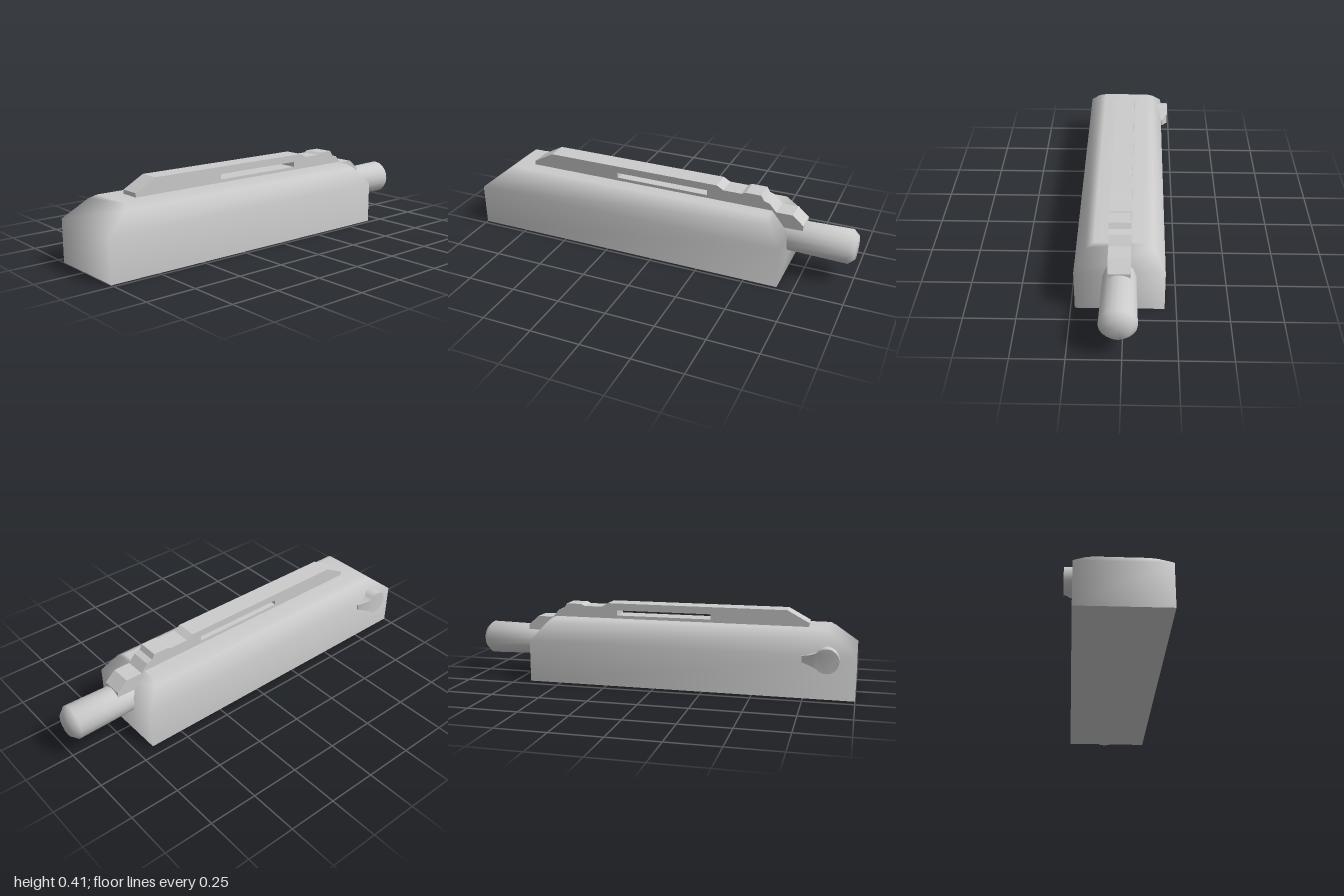
import * as THREE from 'three';
import { toCreasedNormals } from 'three/addons/utils/BufferGeometryUtils.js';

const CX = 0.0175; // centre line of the body

function addMesh(group, name, geometry) {
  const material = new THREE.MeshStandardMaterial({ color: 0xcccccc });
  const mesh = new THREE.Mesh(geometry, material);
  mesh.name = name;
  group.add(mesh);
  return mesh;
}

// Extrude a (z, y) profile towards -x, starting at xStart
function extrudeSide(shape, xStart, depth) {
  const g = new THREE.ExtrudeGeometry(shape, { depth, bevelEnabled: false, curveSegments: 10 });
  return g.rotateY(-Math.PI / 2).translate(xStart, 0, 0);
}

// Body: rectangular rings that shrink towards the top, smooth sides and a sharp base
function bodyGeometry() {
  // y, half width, front z, back z
  const rings = [
    [0, 0.2125, 1, -0.67],
    [0.215, 0.2125, 1, -0.67],
    [0.305, 0.1575, 0.885, -0.597],
    [0.325, 0.12, 0.86, -0.58],
  ];
  const pos = [];
  const index = [];
  const addRing = ([y, w, f, b]) =>
    pos.push(CX - w, y, f, CX + w, y, f, CX + w, y, b, CX - w, y, b);
  rings.forEach(addRing);
  for (let r = 0; r < rings.length - 1; r++) {
    for (let i = 0; i < 4; i++) {
      const a = r * 4 + i;
      const b = r * 4 + ((i + 1) % 4);
      index.push(a, b, b + 4, a, b + 4, a + 4);
    }
  }
  const top = (rings.length - 1) * 4;
  index.push(top, top + 1, top + 2, top, top + 2, top + 3);
  // separate vertices keep the base edge sharp
  const base = rings.length * 4;
  addRing(rings[0]);
  index.push(base, base + 2, base + 1, base, base + 3, base + 2);
  const g = new THREE.BufferGeometry();
  g.setAttribute('position', new THREE.Float32BufferAttribute(pos, 3));
  g.setIndex(index);
  g.computeVertexNormals();
  return g;
}

// Rail: stepped side profile with a long slot
function railGeometry() {
  const profile = [
    [0.76, 0.3], [0.76, 0.345], [0.65, 0.405], [-0.29, 0.405], [-0.325, 0.385],
    [-0.42, 0.385], [-0.44, 0.395], [-0.52, 0.395], [-0.535, 0.37], [-0.565, 0.36],
    [-0.6, 0.32], [-0.685, 0.32], [-0.74, 0.272], [-0.74, 0.245], [-0.6, 0.245], [-0.54, 0.3],
  ];
  const shape = new THREE.Shape(profile.map(([z, y]) => new THREE.Vector2(z, y)));
  const slot = [[0.26, 0.341], [0.26, 0.368], [-0.24, 0.368], [-0.24, 0.341]];
  shape.holes.push(new THREE.Path(slot.map(([z, y]) => new THREE.Vector2(z, y))));
  return extrudeSide(shape, 0.07, 0.105);
}

// Handle: lathe along z with a chamfered end
function handleGeometry() {
  const points = [[0, 0.58], [0.068, 0.6], [0.08, 0.66], [0.087, 0.97], [0.06, 1], [0, 1]];
  const g = new THREE.LatheGeometry(points.map(([r, d]) => new THREE.Vector2(r, d)), 20);
  g.rotateX(-Math.PI / 2).translate(CX, 0.185, 0);
  return toCreasedNormals(g, 0.9);
}

// Catch: round boss with a waisted pointer that thins towards its tip
function catchGeometry() {
  const z = 0.859;
  const y = 0.197;
  const shape = new THREE.Shape();
  shape.moveTo(0.74, y - 0.016);
  shape.quadraticCurveTo(0.785, y - 0.025, z - 0.047, y - 0.039);
  shape.absarc(z, y, 0.061, -Math.PI + 0.69, Math.PI - 0.69, false);
  shape.quadraticCurveTo(0.785, y + 0.025, 0.74, y + 0.016);
  shape.closePath();
  const g = extrudeSide(shape, -0.16, 0.072);
  const p = g.attributes.position;
  for (let i = 0; i < p.count; i++) {
    if (p.getX(i) < -0.2) {
      const t = Math.max(0, (0.8 - p.getZ(i)) / 0.06);
      p.setX(i, p.getX(i) + 0.03 * Math.min(1, t));
    }
  }
  return toCreasedNormals(g, 0.6);
}

export function createModel() {
  const model = new THREE.Group();
  model.name = 'model';
  addMesh(model, 'body', bodyGeometry());
  addMesh(model, 'slottedRail', railGeometry());
  addMesh(model, 'rearHandle', handleGeometry());
  addMesh(model, 'sideCatch', catchGeometry());
  return model;
}
